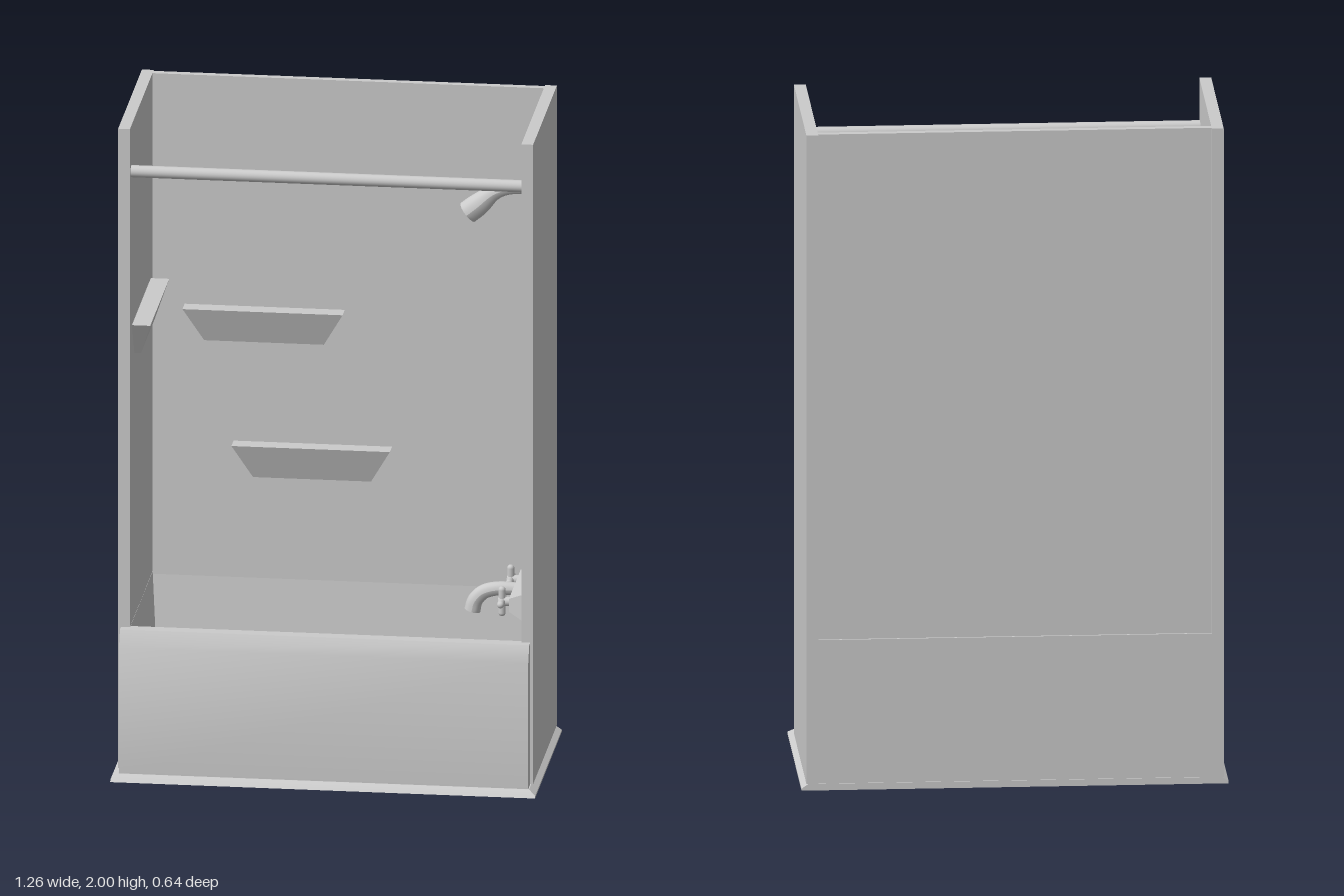
import * as THREE from 'three';
import { toCreasedNormals } from 'three/addons/utils/BufferGeometryUtils.js';

const material = new THREE.MeshStandardMaterial({ color: 0xcccccc });

function add(parent, name, geometry, x = 0, y = 0, z = 0) {
  const mesh = new THREE.Mesh(geometry, material);
  mesh.name = name;
  mesh.position.set(x, y, z);
  parent.add(mesh);
  return mesh;
}

// Closed solid through rectangular rings [x0, x1, z0, z1, y]
function loft(rings) {
  const points = [], faces = [];
  for (const [x0, x1, z0, z1, y] of rings) {
    points.push(x0, y, z1, x1, y, z1, x1, y, z0, x0, y, z0);
  }
  for (let r = 0; r < rings.length - 1; r++) {
    for (let i = 0; i < 4; i++) {
      const a = r * 4 + i, b = r * 4 + (i + 1) % 4;
      faces.push(a, b, b + 4, a, b + 4, a + 4);
    }
  }
  const t = (rings.length - 1) * 4;
  faces.push(0, 2, 1, 0, 3, 2, t, t + 1, t + 2, t, t + 2, t + 3);
  const geometry = new THREE.BufferGeometry();
  geometry.setAttribute('position', new THREE.Float32BufferAttribute(points, 3));
  geometry.setIndex(faces);
  return toCreasedNormals(geometry, 0.5);
}

// Curved pipe whose radius follows radiusAt(t), closed by a disc at its free end
function pipe(parent, name, points, radiusAt) {
  const curve = new THREE.CatmullRomCurve3(points.map(p => new THREE.Vector3(...p)));
  const steps = 20, sides = 16;
  const geometry = new THREE.TubeGeometry(curve, steps, 1, sides);
  const pos = geometry.attributes.position, v = new THREE.Vector3();
  for (let i = 0; i < pos.count; i++) {
    const t = Math.floor(i / (sides + 1)) / steps;
    const centre = curve.getPointAt(t);
    v.fromBufferAttribute(pos, i).sub(centre).multiplyScalar(radiusAt(t)).add(centre);
    pos.setXYZ(i, v.x, v.y, v.z);
  }
  geometry.computeVertexNormals();
  add(parent, name, geometry);
  const end = curve.getPointAt(1);
  const cap = add(parent, name + 'End', new THREE.CircleGeometry(radiusAt(1), sides), end.x, end.y, end.z);
  cap.lookAt(end.clone().add(curve.getTangentAt(1)));
}

// Wall shelf, tapering downwards; its back lies on z = 0
function shelf(parent, name, length) {
  const h = length / 2;
  return add(parent, name, loft([
    [-h + 0.06, h - 0.06, 0, 0.02, 0],
    [-h, h, 0, 0.055, 0.105],
  ]));
}

export function createModel() {
  const group = new THREE.Group();

  // Flared foot and tub with a sloping basin
  add(group, 'baseSkirt', loft([
    [-0.63, 0.63, -0.32, 0.32, 0],
    [-0.63, 0.63, -0.32, 0.315, 0.006],
    [-0.61, 0.61, -0.32, 0.297, 0.02],
  ]));
  add(group, 'tub', loft([
    [-0.607, 0.607, -0.317, 0.295, 0.015],
    [-0.607, 0.607, -0.317, 0.295, 0.41],
    [-0.607, 0.607, -0.317, 0.27, 0.458],
    [-0.58, 0.58, -0.29, 0.235, 0.458],
    [-0.56, 0.56, -0.26, 0.205, 0.1],
  ]));

  // Surround walls
  add(group, 'backWall', new THREE.BoxGeometry(1.17, 1.55, 0.022), 0, 1.225, -0.3);
  for (const [side, name] of [[1, 'leftWall'], [-1, 'rightWall']]) {
    add(group, name, new THREE.BoxGeometry(0.035, 1.98, 0.567), side * 0.598, 1.01, -0.0365);
  }

  // Curtain rod
  add(group, 'curtainRod', new THREE.CylinderGeometry(0.018, 0.018, 1.17, 20), 0, 1.86, 0.215)
    .rotation.z = Math.PI / 2;

  // Shelves
  shelf(group, 'upperShelf', 0.475).position.set(-0.2475, 1.185, -0.292);
  shelf(group, 'lowerShelf', 0.47).position.set(-0.105, 0.767, -0.292);
  const sideShelf = shelf(group, 'sideShelf', 0.45);
  sideShelf.position.set(-0.581, 1.273, -0.025);
  sideShelf.rotation.y = Math.PI / 2;

  // Shower head
  pipe(group, 'showerHead', [
    [0.582, 1.775, -0.025], [0.52, 1.775, -0.025], [0.465, 1.757, -0.025],
    [0.42, 1.72, -0.025], [0.388, 1.694, -0.025],
  ], t => 0.019 + 0.016 * THREE.MathUtils.smoothstep(t, 0.35, 0.9));

  // Tap: tapered wall plate, spout and two cross handles
  const tap = new THREE.Group();
  tap.name = 'tap';
  group.add(tap);
  const plate = add(tap, 'tapPlate', loft([
    [-0.045, 0.045, -0.165, 0.165, 0],
    [-0.02, 0.02, -0.14, 0.14, 0.052],
  ]), 0.582, 0.535, -0.003);
  plate.rotation.z = Math.PI / 2;
  pipe(tap, 'spout', [
    [0.54, 0.535, -0.02], [0.48, 0.535, -0.02], [0.435, 0.522, -0.02],
    [0.41, 0.495, -0.02], [0.402, 0.465, -0.02],
  ], t => 0.019 + 0.005 * t);
  for (const [z, name] of [[-0.108, 'rearHandle'], [0.1, 'frontHandle']]) {
    const handle = new THREE.Group();
    handle.name = name;
    handle.position.set(0.505, 0.535, z);
    tap.add(handle);
    add(handle, 'stem', new THREE.CylinderGeometry(0.014, 0.014, 0.045, 16), 0.012)
      .rotation.z = Math.PI / 2;
    for (let i = 0; i < 2; i++) {
      add(handle, 'crossBar', new THREE.CapsuleGeometry(0.011, 0.07, 4, 12)).rotation.x = i * Math.PI / 2;
    }
  }
  return group;
}
